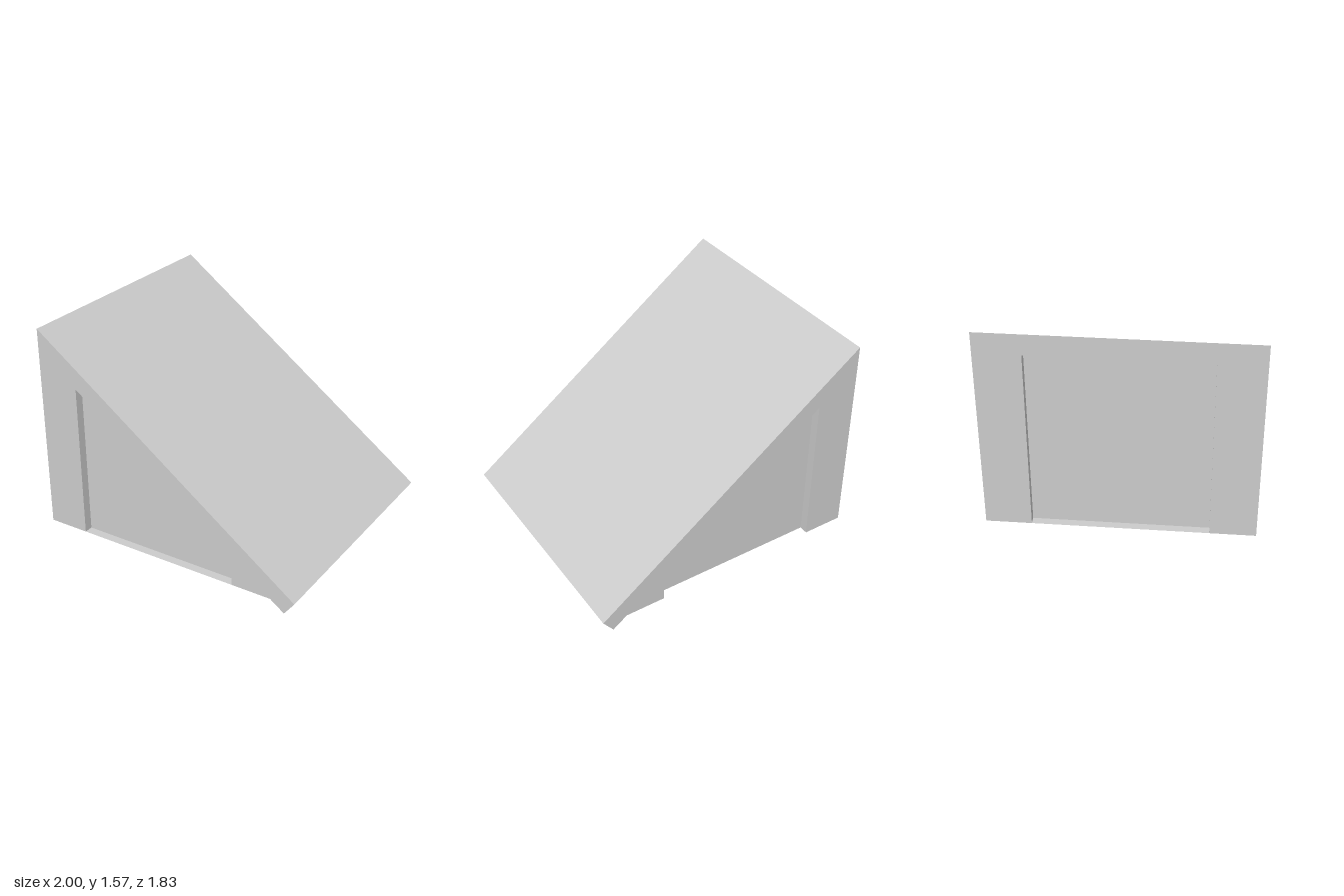
import * as THREE from 'three';

const HALF = 0.913;    // half length along z
const INNER = 0.85;    // z where the front and back recesses end
const SIDE = 0.6;      // half width of the recess in the tall wall
const BASE = 0.075;
const BACK_X = -0.945; // bottom plane of the tall wall's recess

// Roof slope and eave, shared by every slice of the body
const roof = [[0.82, BASE], [0.925, 0], [1, 0.1], [-1, 1.565]];

export function createModel() {
  const group = new THREE.Group();
  const material = new THREE.MeshStandardMaterial({ color: 0xcccccc, flatShading: true, side: THREE.DoubleSide });

  const add = (name, geometry) => {
    const mesh = new THREE.Mesh(geometry, material);
    mesh.name = name;
    group.add(mesh);
    return mesh;
  };

  // Extrude an x-y profile between two z positions
  const slice = (name, points, z0, z1) => {
    const shape = new THREE.Shape(points.map(([x, y]) => new THREE.Vector2(x, y)));
    const geometry = new THREE.ExtrudeGeometry(shape, { depth: z1 - z0, bevelEnabled: false });
    add(name, geometry.translate(0, 0, z0));
  };

  // Solid core, recessed in the middle of the tall wall
  const full = [[-1, BASE], ...roof];
  const recessed = [[BACK_X, BASE], ...roof, [-1, 1.415], [BACK_X, 1.415]];
  slice('coreMiddle', recessed, -SIDE, SIDE);
  slice('coreFront', full, SIDE, INNER);
  slice('coreBack', full, -INNER, -SIDE);

  // Gable frames around the triangular recesses
  const frame = [[-1, BASE], [-0.7, BASE], [-0.7, 1.193], [0.525, 0.297], [0.525, BASE], ...roof];
  slice('frontFrame', frame, INNER, HALF);
  slice('backFrame', frame, -HALF, -INNER);

  // Thin sills closing the front and tall-wall recesses
  const sill = (name, x0, x1, z0, z1) => {
    const mesh = add(name, new THREE.PlaneGeometry(x1 - x0, z1 - z0).rotateX(-Math.PI / 2));
    mesh.position.set((x0 + x1) / 2, BASE, (z0 + z1) / 2);
  };
  sill('frontSill', -0.7, 0.525, INNER, HALF);
  sill('sideSill', -1, BACK_X, -SIDE, SIDE);

  return group;
}
